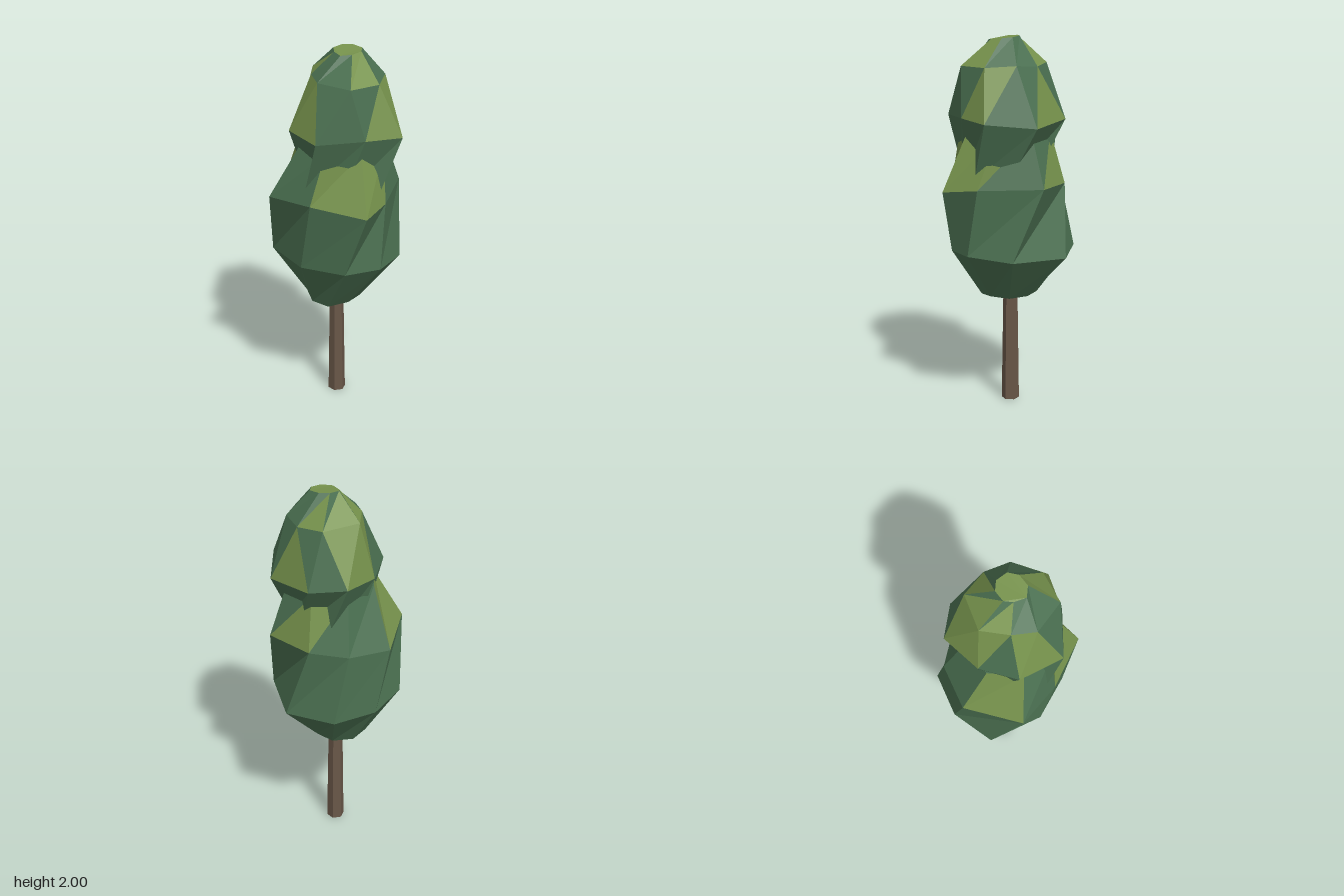
import * as THREE from 'three';

const SIDES = 8;

// Evenly spaced ring of [x, y, z] points, running from the front round through +x
function evenRing(y, cx, cz, startDeg, radii) {
  return radii.map((r, i) => {
    const a = THREE.MathUtils.degToRad(startDeg + i * 360 / SIDES);
    return [cx + r * Math.sin(a), y, cz + r * Math.cos(a)];
  });
}

// Skins stacked rings with flat triangles. Each band has a string with two letters
// per side: D for the dark leaf colour, L for the light one.
function foliage(name, rings, bands, topColour, materials) {
  const tris = { D: [], L: [] };
  const add = (key, ...pts) => pts.forEach(p => tris[key].push(...p));
  bands.forEach((mask, k) => {
    const low = rings[k], high = rings[k + 1];
    for (let i = 0; i < SIDES; i++) {
      const j = (i + 1) % SIDES;
      add(mask[2 * i], low[i], low[j], high[j]);
      add(mask[2 * i + 1], low[i], high[j], high[i]);
    }
  });
  // Close both ends with fans
  const bottom = rings[0], top = rings[rings.length - 1];
  for (let i = 1; i < SIDES - 1; i++) {
    add('D', bottom[0], bottom[i + 1], bottom[i]);
    add(topColour, top[0], top[i], top[i + 1]);
  }
  const geo = new THREE.BufferGeometry();
  geo.setAttribute('position', new THREE.Float32BufferAttribute([...tris.D, ...tris.L], 3));
  geo.addGroup(0, tris.D.length / 3, 0);
  geo.addGroup(tris.D.length / 3, tris.L.length / 3, 1);
  geo.computeVertexNormals();
  const mesh = new THREE.Mesh(geo, materials);
  mesh.name = name;
  return mesh;
}

export function createModel() {
  const tree = new THREE.Group();
  tree.name = 'tree';

  const material = (name, color) => {
    const m = new THREE.MeshStandardMaterial({ color });
    m.name = name;
    return m;
  };
  const leaves = [material('dark leaf green', 0x4a6f50), material('light leaf green', 0x76924c)];
  const bark = material('bark brown', 0x695748);
  const allDark = 'DD'.repeat(SIDES);

  // Trunk: tapered six-sided post
  const trunkGeo = new THREE.CylinderGeometry(0.038, 0.048, 0.66, 6).rotateY(Math.PI / 6).toNonIndexed();
  trunkGeo.computeVertexNormals();
  const trunk = new THREE.Mesh(trunkGeo, bark);
  trunk.name = 'trunk';
  trunk.position.set(-0.036, 0.33, -0.004);
  tree.add(trunk);

  // Lower foliage: narrow base, two wide twisted rings, tapering shoulder
  const lowerRings = [
    evenRing(0.61, -0.045, 0.01, -10, [0.14, 0.15, 0.145, 0.15, 0.14, 0.15, 0.15, 0.15]),
    [[0, 0.87, 0.29], [0.23, 0.87, 0.19], [0.32, 0.88, 0.02], [0.24, 0.86, -0.21],
      [-0.04, 0.85, -0.355], [-0.295, 0.86, -0.245], [-0.355, 0.86, -0.01], [-0.29, 0.87, 0.23]],
    [[0.08, 1.24, 0.295], [0.35, 1.21, 0.155], [0.3, 1.23, -0.03], [0.12, 1.24, -0.32],
      [-0.14, 1.23, -0.28], [-0.3, 1.22, -0.15], [-0.355, 1.2, 0.085], [-0.17, 1.24, 0.35]],
    evenRing(1.51, 0.01, 0, 25, [0.24, 0.24, 0.23, 0.24, 0.24, 0.24, 0.24, 0.24]),
  ];
  lowerRings[0][0][1] = lowerRings[0][1][1] = 0.595;
  tree.add(foliage('lowerFoliage', lowerRings,
    [allDark, allDark, 'LLLLDLLDDLDDLLDD'], 'D', leaves));

  // Upper foliage: tucked-in skirt, wide ring, shoulder and small flat crown
  const upperRings = [
    evenRing(1.28, 0.02, 0, 0, [0.28, 0.2, 0.26, 0.2, 0.2, 0.26, 0.2, 0.19]),
    [[0.12, 1.58, 0.29], [0.27, 1.59, 0.09], [0.34, 1.58, -0.105], [0.14, 1.55, -0.29],
      [-0.14, 1.57, -0.28], [-0.28, 1.59, -0.145], [-0.24, 1.57, 0.075], [-0.12, 1.59, 0.25]],
    [[0.03, 1.86, 0.19], [0.21, 1.85, 0.135], [0.24, 1.85, -0.035], [0.15, 1.86, -0.17],
      [0.02, 1.85, -0.21], [-0.125, 1.86, -0.17], [-0.185, 1.87, 0.02], [-0.08, 1.87, 0.13]],
    [[0.063, 1.98, 0.063], [0.103, 1.985, 0.02], [0.103, 1.99, -0.045], [0.065, 1.995, -0.087],
      [0, 2, -0.085], [-0.037, 2, -0.045], [-0.037, 1.995, 0.015], [0, 1.985, 0.045]],
  ];
  tree.add(foliage('upperFoliage', upperRings,
    [allDark, 'DDLDDLLDDDLLDLLL', 'DDLLDDDDLDLDLDDD'], 'L', leaves));

  return tree;
}
